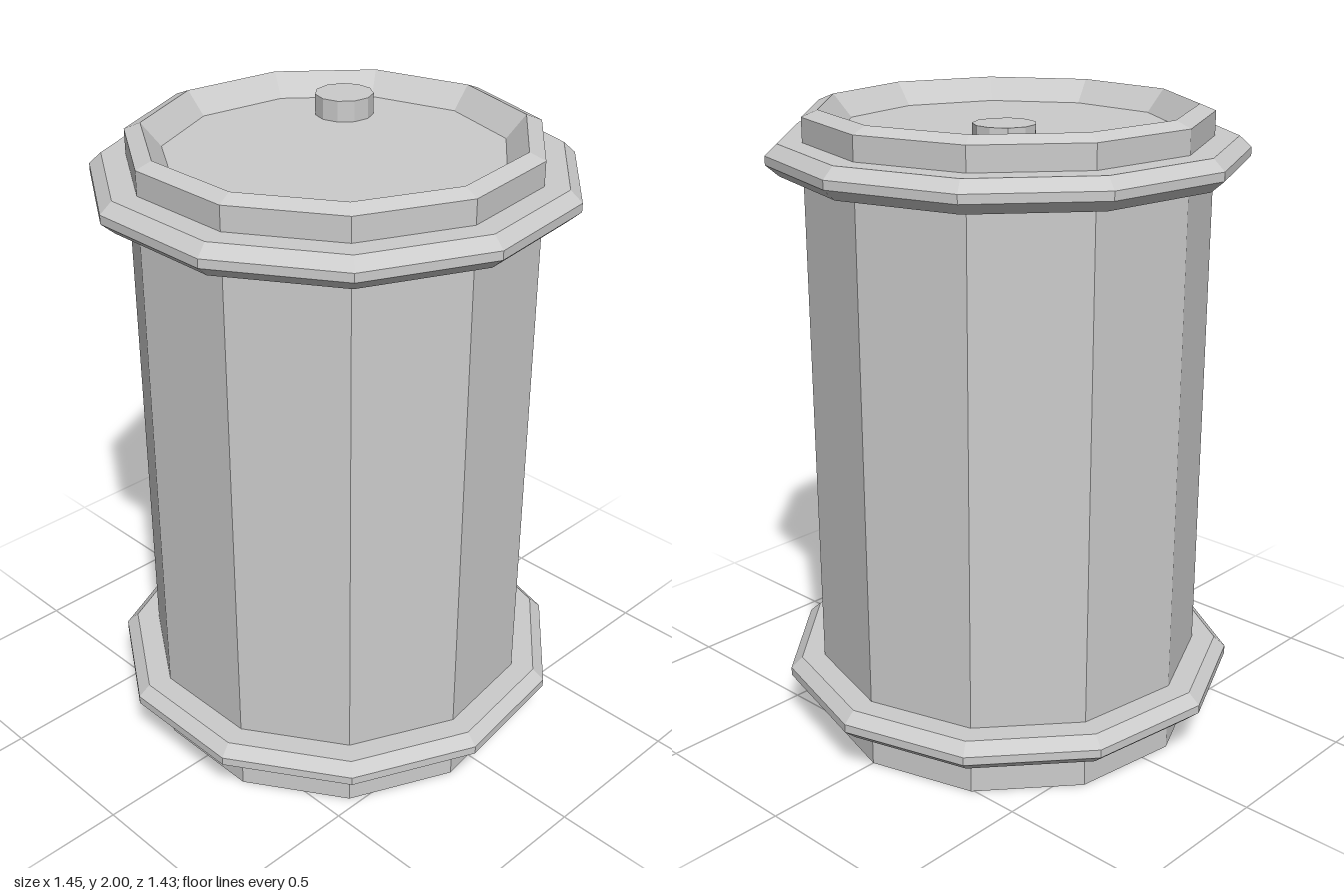
import * as THREE from 'three';

const SIDES = 11;
const material = new THREE.MeshStandardMaterial({ color: 0xcccccc, flatShading: true });

// Revolve a [radius, height] profile into a faceted solid with a corner at the back
function lathe(name, profile) {
  const points = profile.map(([r, y]) => new THREE.Vector2(r, y));
  const mesh = new THREE.Mesh(new THREE.LatheGeometry(points, SIDES, Math.PI), material);
  mesh.name = name;
  return mesh;
}

export function createModel() {
  const drum = new THREE.Group();
  drum.name = 'drum';

  // Body with recessed base, straight wall, bevelled rim and sunken lid
  drum.add(lathe('body', [
    [0, 0.075], [0.512, 0.075], [0.621, 0],
    [0.621, 1.98], [0.572, 2], [0.513, 1.93], [0, 1.93],
  ]));

  // Bevelled hoops near the bottom and top
  for (const [name, y] of [['lowerHoop', 0.126], ['upperHoop', 1.81]]) {
    const hoop = lathe(name, [
      [0.6, 0], [0.692, 0], [0.732, 0.035], [0.732, 0.062], [0.695, 0.096], [0.6, 0.096],
    ]);
    hoop.position.y = y;
    drum.add(hoop);
  }

  // Bung on the lid
  const bung = new THREE.Mesh(new THREE.CylinderGeometry(0.091, 0.091, 0.08, SIDES), material);
  bung.name = 'bung';
  bung.position.set(-0.227, 1.955, -0.257);
  drum.add(bung);

  // Centre the odd-sided outline
  drum.position.z = 0.015;
  const model = new THREE.Group();
  model.name = 'barrel';
  model.add(drum);
  return model;
}
